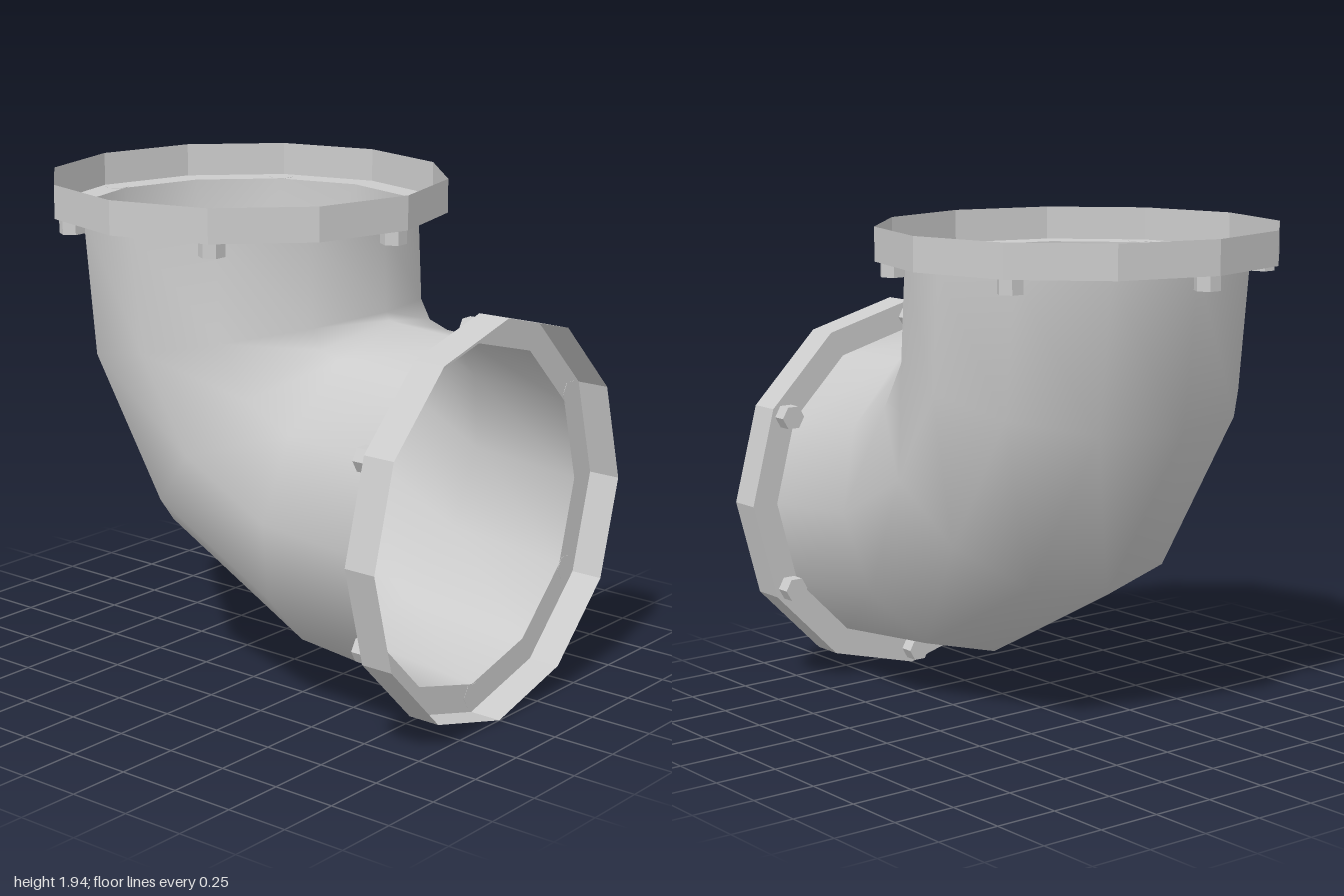
import * as THREE from 'three';

const SIDES = 12;
const PIPE_R = 0.66;
const FLANGE_R = 0.772;

const smooth = new THREE.MeshStandardMaterial({ color: 0xcccccc, side: THREE.DoubleSide });
const flat = new THREE.MeshStandardMaterial({ color: 0xcccccc, side: THREE.DoubleSide, flatShading: true });

function part(name, geometry, material) {
  const mesh = new THREE.Mesh(geometry, material);
  mesh.name = name;
  return mesh;
}

// Bent pipe: 12-sided rings, each spanning an outer and an inner point of the bend
function elbowGeometry() {
  const sections = [ // outer x, y, inner x, y
    [-0.89, 1.81, 0.43, 1.81],
    [-0.82, 1.22, 0.445, 1.49],
    [-0.40, 0.54, 0.46, 1.46],
    [0.30, 0.17, 0.50, 1.455],
    [0.87, 0.115, 0.87, 1.435],
  ];
  const positions = [];
  const index = [];
  sections.forEach(([ox, oy, ix, iy], s) => {
    for (let i = 0; i < SIDES; i++) {
      const a = (i / SIDES) * Math.PI * 2;
      const t = (1 + Math.cos(a)) / 2;
      positions.push(ox + (ix - ox) * t, oy + (iy - oy) * t, PIPE_R * Math.sin(a));
      if (s === 0) continue;
      const j = (i + 1) % SIDES;
      const p = (s - 1) * SIDES;
      const q = s * SIDES;
      index.push(p + i, p + j, q + i, p + j, q + j, q + i);
    }
  });
  const geometry = new THREE.BufferGeometry();
  geometry.setAttribute('position', new THREE.Float32BufferAttribute(positions, 3));
  geometry.setIndex(index);
  geometry.computeVertexNormals();
  return geometry;
}

// Open collar: outer wall, a ledge at its base, and six hex bolts under the ledge
function flange(name) {
  const group = new THREE.Group();
  group.name = name;
  const depth = 0.13;
  const wall = new THREE.CylinderGeometry(FLANGE_R, FLANGE_R, depth, SIDES, 1, true);
  group.add(part('flangeWall', wall.translate(0, depth / 2, 0), flat));
  const ledge = new THREE.RingGeometry(PIPE_R, FLANGE_R, SIDES).rotateX(-Math.PI / 2);
  group.add(part('flangeLedge', ledge, flat));

  const boltGeometry = new THREE.CylinderGeometry(0.05, 0.05, 0.058, 6);
  for (let i = 0; i < 6; i++) {
    const a = (i / 6) * Math.PI * 2;
    const bolt = part('bolt', boltGeometry, flat);
    bolt.position.set(0.705 * Math.cos(a), -0.028, 0.705 * Math.sin(a));
    group.add(bolt);
  }
  return group;
}

export function createModel() {
  const model = new THREE.Group();
  model.name = 'pipeElbow';
  model.add(part('elbowPipe', elbowGeometry(), smooth));

  const top = flange('topFlange');
  top.position.set(-0.23, 1.81, 0);
  const side = flange('sideFlange');
  side.position.set(0.87, 0.775, 0);
  side.rotation.z = -Math.PI / 2;
  model.add(top, side);
  return model;
}
